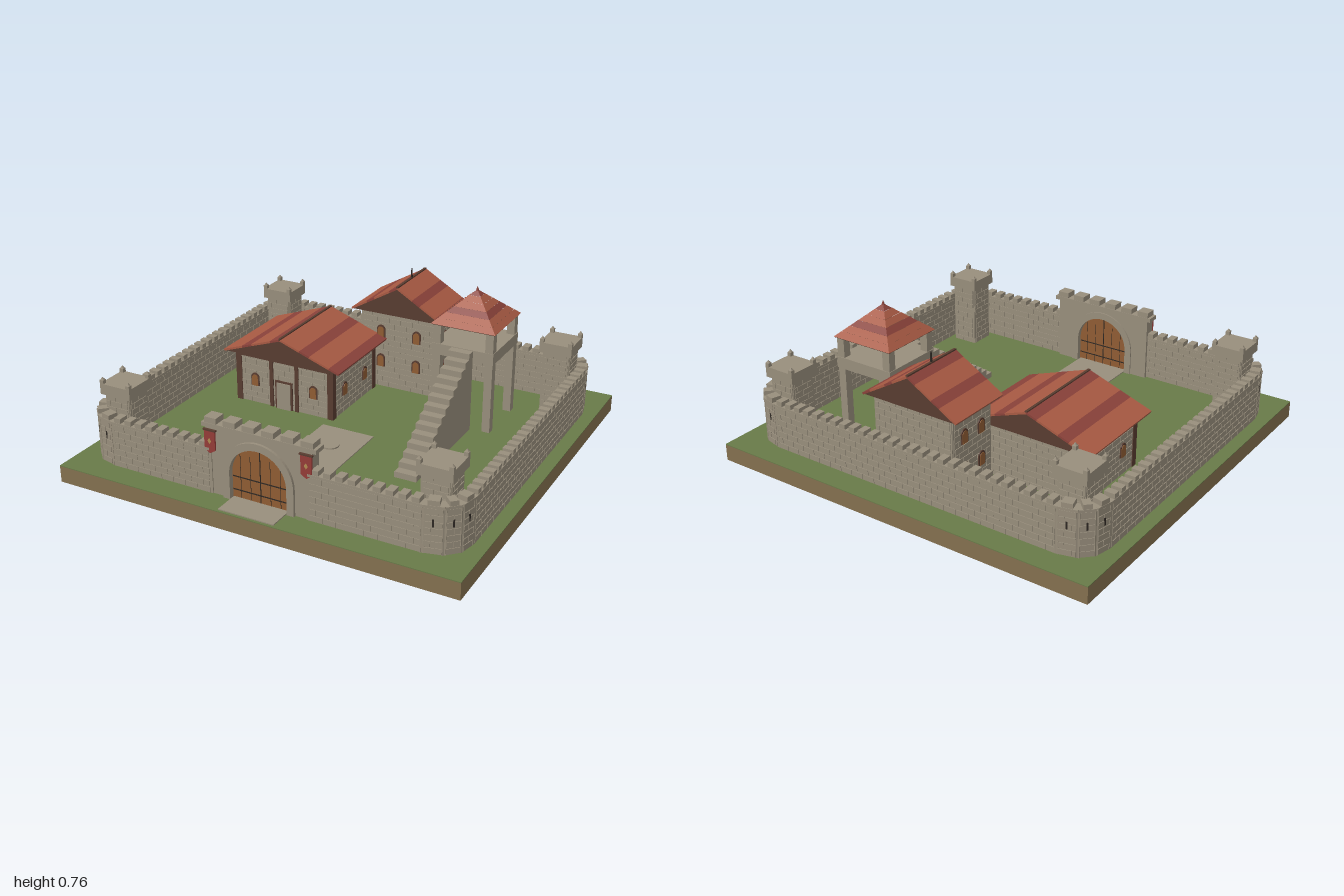
import * as THREE from 'three';
import { mergeGeometries } from 'three/addons/utils/BufferGeometryUtils.js';

const material = (name, color) => {
  const m = new THREE.MeshStandardMaterial({ color });
  m.name = name;
  return m;
};
const M = {
  grass: material('grass', 0x687a48),
  soil: material('soil', 0x84704f),
  stone: material('stone', 0x988e7c),
  tile: material('roof tile', 0xa85a43),
  tileDark: material('dark roof tile', 0x8a423a),
  timber: material('dark timber', 0x583c30),
  wood: material('door wood', 0x8f5c33),
  cloth: material('banner cloth', 0x943c38),
  gold: material('emblem', 0xb08a50),
  iron: material('iron', 0x2e2823),
};
const G = 0.085; // ground level

// Box given by its centre in x and z and by its bottom and top
const box = (x0, x1, y0, y1, z0, z1) =>
  new THREE.BoxGeometry(x1 - x0, y1 - y0, z1 - z0).translate((x0 + x1) / 2, (y0 + y1) / 2, (z0 + z1) / 2);

const part = (parent, name, mat, geos) => {
  const list = [].concat(geos);
  const mesh = new THREE.Mesh(list.length > 1 ? mergeGeometries(list) : list[0], mat);
  mesh.name = name;
  parent.add(mesh);
  return mesh;
};
const group = (parent, name) => {
  const g = new THREE.Group();
  g.name = name;
  parent.add(g);
  return g;
};

// Straight wall from a to b with slightly raised staggered blocks and optional battlements
function wallRun(a, b, top, t, merlons) {
  const len = Math.hypot(b[0] - a[0], b[1] - a[1]);
  const geos = [box(-t * 0.3, len + t * 0.3, G, top, -t / 2, t / 2)];
  const rows = Math.round((top - G) / 0.03), h = (top - G) / rows, w = 0.065, o = t / 2 + 0.003;
  for (let r = 0; r < rows; r++) {
    for (let s = r % 2 ? -w / 2 : 0; s < len; s += w) {
      const s0 = Math.max(0, s) + 0.002, s1 = Math.min(len, s + w) - 0.002;
      if (s1 - s0 > 0.008) geos.push(box(s0, s1, G + r * h + 0.002, G + (r + 1) * h - 0.002, -o, o));
    }
  }
  if (merlons) {
    geos.push(box(-0.005, len + 0.005, top, top + 0.012, -0.027, 0.027));
    const n = Math.max(1, Math.round(len / 0.055)), p = len / n;
    for (let i = 0; i < n; i++) geos.push(box((i + 0.2) * p, (i + 0.8) * p, top + 0.01, top + 0.035, -0.025, 0.025));
  }
  const turn = Math.atan2(-(b[1] - a[1]), b[0] - a[0]);
  return geos.map((g) => g.rotateY(turn).translate(a[0], 0, a[1]));
}

// Four block walls around a rectangle
function room(x0, x1, z0, z1, top) {
  const c = [[x0, z0], [x1, z0], [x1, z1], [x0, z1]];
  return c.flatMap((p, i) => wallRun(p, c[(i + 1) % 4], top, 0.02, false));
}

// Arch outline standing on y = 0
function arch(r, spring) {
  const s = new THREE.Shape();
  s.moveTo(-r, 0);
  s.lineTo(r, 0);
  s.lineTo(r, spring);
  s.absarc(0, spring, r, 0, Math.PI, false);
  s.lineTo(-r, 0);
  return s;
}
const extrude = (shape, depth) => new THREE.ExtrudeGeometry(shape, { depth, bevelEnabled: false, curveSegments: 16 });

// Gable roof with tile courses parallel to the ridge
function gableRoof(parent, x0, x1, z0, z1, eave, ridge) {
  const g = group(parent, 'roof'), mid = (x0 + x1) / 2, half = (x1 - x0) / 2, rise = ridge - eave - 0.01;
  const tri = new THREE.Shape();
  tri.moveTo(x0, eave);
  tri.lineTo(x1, eave);
  tri.lineTo(mid, eave + rise);
  part(g, 'gable', M.timber, extrude(tri, z1 - z0 - 0.016).translate(0, 0, z0 + 0.008));
  const light = [], dark = [], slope = Math.atan2(rise, half), w = half / 6;
  for (let i = 0; i < 12; i++) {
    const x = x0 + (i + 0.5) * w, left = x < mid;
    const y = eave + rise * (1 - Math.abs(x - mid) / half);
    const row = new THREE.BoxGeometry(w / Math.cos(slope), 0.01, z1 - z0);
    row.rotateZ(left ? slope : -slope).translate(x, y + 0.004, (z0 + z1) / 2);
    (i % 3 === 2 ? dark : light).push(row);
  }
  part(g, 'tileCourses', M.tile, light);
  part(g, 'darkTileCourses', M.tileDark, dark);
  part(g, 'ridgeBeam', M.timber, box(mid - 0.006, mid + 0.006, ridge - 0.008, ridge + 0.003, z0, z1));
}

// Small arched window facing +z or, with turn, another way
function windowAt(parent, x, y, z, turn = 0, r = 0.017) {
  const g = group(parent, 'window');
  part(g, 'windowFrame', M.timber, extrude(arch(r + 0.006, 0.045), 0.006));
  part(g, 'windowShutter', M.wood, extrude(arch(r, 0.042), 0.009));
  g.position.set(x, y, z);
  g.rotation.y = turn;
}

function cornerTower(parent, sx, sz) {
  const g = group(parent, 'cornerTower'), cx = sx * 0.793, cz = sz * 0.7;
  const b = 0.068, c = 0.082;
  const geos = room(cx - b + 0.01, cx + b - 0.01, cz - b + 0.01, cz + b - 0.01, 0.4);
  geos.push(box(cx - c, cx + c, 0.4, 0.452, cz - c, cz + c));
  for (const i of [-1, 1]) for (const j of [-1, 1]) {
    const x = cx + i * 0.072, z = cz + j * 0.072;
    geos.push(box(x - 0.01, x + 0.01, 0.45, 0.47, z - 0.01, z + 0.01));
    geos.push(new THREE.ConeGeometry(0.012, 0.014, 4).rotateY(Math.PI / 4).translate(x, 0.477, z));
  }
  part(g, 'towerStone', M.stone, geos);
}

function gatehouse(parent) {
  const g = group(parent, 'gatehouse');
  const s = new THREE.Shape();
  s.moveTo(-0.265, 0);
  s.lineTo(-0.145, 0);
  s.lineTo(-0.145, 0.125);
  s.absarc(0, 0.125, 0.145, Math.PI, 0, true);
  s.lineTo(0.145, 0);
  s.lineTo(0.265, 0);
  s.lineTo(0.265, 0.325);
  s.lineTo(-0.265, 0.325);
  part(g, 'gateWall', M.stone, extrude(s, 0.055).translate(0, G, 0.782));
  // Raised arch surround on both faces
  const trim = arch(0.178, 0.125);
  trim.holes.push(arch(0.143, 0.125));
  part(g, 'archSurround', M.stone, extrude(trim, 0.075).translate(0, G, 0.775));
  const top = [box(-0.285, 0.285, 0.405, 0.425, 0.773, 0.838)];
  for (let i = 0; i < 6; i++) {
    const x = -0.24 + i * 0.096;
    top.push(box(x - 0.03, x + 0.03, 0.424, 0.452, 0.775, 0.836));
  }
  part(g, 'gateBattlements', M.stone, top);
  // Double door with iron fittings
  part(g, 'door', M.wood, extrude(arch(0.145, 0.125), 0.024).translate(0, G, 0.8));
  const iron = [box(-0.002, 0.002, G, 0.353, 0.798, 0.826)];
  for (const y of [0.125, 0.19]) iron.push(box(-0.14, 0.14, y, y + 0.005, 0.798, 0.826));
  for (const x of [-0.1, -0.05, 0.05, 0.1]) iron.push(box(x - 0.001, x + 0.001, G, 0.305, 0.799, 0.825));
  part(g, 'doorIron', M.iron, iron);
  // Pointed banners
  for (const sx of [-1, 1]) {
    const f = new THREE.Shape([[-0.027, 0.395], [-0.027, 0.302], [0, 0.285], [0.027, 0.302], [0.027, 0.395]]
      .map(([x, y]) => new THREE.Vector2(x, y)));
    part(g, 'banner', M.cloth, extrude(f, 0.008).translate(sx * 0.24, 0, 0.838));
    part(g, 'bannerEmblem', M.gold, new THREE.CircleGeometry(0.011, 4).scale(0.9, 1.4, 1).translate(sx * 0.24, 0.345, 0.8475));
    part(g, 'bannerRod', M.timber, box(sx * 0.24 - 0.032, sx * 0.24 + 0.032, 0.393, 0.4, 0.837, 0.849));
  }
}

function hall(parent) {
  const g = group(parent, 'hall'), x0 = -0.66, x1 = -0.135, z0 = -0.465, z1 = -0.045;
  part(g, 'hallWalls', M.stone, room(x0, x1, z0, z1, 0.35));
  const posts = [];
  for (const x of [x0, x1]) for (const z of [z0, z1]) posts.push(box(x - 0.016, x + 0.016, G, 0.35, z - 0.016, z + 0.016));
  posts.push(box(x0, x1, 0.332, 0.35, z1, z1 + 0.018));
  for (const x of [-0.47, -0.325]) posts.push(box(x - 0.01, x + 0.01, G, 0.34, z1, z1 + 0.018));
  part(g, 'timberFrame', M.timber, posts);
  part(g, 'doorSurround', M.timber, box(-0.447, -0.349, G, 0.235, z1, z1 + 0.019));
  part(g, 'hallDoor', M.stone, box(-0.437, -0.359, G, 0.225, z1, z1 + 0.024));
  for (const x of [-0.565, -0.23]) windowAt(g, x, 0.18, z1 + 0.012);
  for (const z of [-0.36, -0.15]) {
    windowAt(g, x1 + 0.012, 0.18, z, Math.PI / 2);
    windowAt(g, x0 - 0.012, 0.18, z, -Math.PI / 2);
  }
  gableRoof(g, -0.725, -0.07, -0.51, 0.003, 0.35, 0.475);
}

function keep(parent) {
  const g = group(parent, 'keep'), x = 0.205, z0 = -0.775, z1 = -0.52;
  part(g, 'keepWalls', M.stone, room(-x, x, z0, z1, 0.5));
  for (const y of [0.2, 0.36]) {
    for (const wx of [-0.1, 0.1]) windowAt(g, wx, y, z1 + 0.012);
    for (const z of [-0.71, -0.59]) {
      windowAt(g, x + 0.012, y, z, Math.PI / 2);
      windowAt(g, -x - 0.012, y, z, -Math.PI / 2);
    }
  }
  gableRoof(g, -0.255, 0.253, -0.812, -0.478, 0.497, 0.655);
  part(g, 'finial', M.iron, new THREE.CylinderGeometry(0.003, 0.006, 0.06, 6).translate(0, 0.675, -0.645));
}

function watchtower(parent) {
  const g = group(parent, 'watchtower'), cx = 0.452, cz = -0.423;
  const geos = [box(cx - 0.158, cx + 0.158, 0.442, 0.498, cz - 0.158, cz + 0.158)];
  for (const i of [-1, 1]) for (const j of [-1, 1]) {
    const x = cx + i * 0.135, z = cz + j * 0.135;
    geos.push(box(x - 0.02, x + 0.02, G, 0.6, z - 0.02, z + 0.02));
  }
  part(g, 'platformAndPosts', M.stone, geos);
  // Pyramid roof in courses
  const light = [], dark = [], R = 0.165 * Math.SQRT2;
  for (let i = 0; i < 6; i++) {
    const band = new THREE.CylinderGeometry(R * (1 - (i + 1) / 6) + 0.001, R * (1 - i / 6), 0.0245, 4, 1, true).toNonIndexed();
    band.computeVertexNormals();
    (i % 3 === 2 ? dark : light).push(band.rotateY(Math.PI / 4).translate(cx, 0.61 + i * 0.0245, cz));
  }
  part(g, 'roofCourses', M.tile, light);
  part(g, 'darkRoofCourses', M.tileDark, dark);
  part(g, 'roofUnderside', M.timber, box(cx - 0.162, cx + 0.162, 0.594, 0.6, cz - 0.162, cz + 0.162));
  part(g, 'roofFinial', M.tileDark, new THREE.ConeGeometry(0.009, 0.025, 6).translate(cx, 0.75, cz));
  // Solid stair rising towards the platform
  const steps = [], n = 14, d = 0.6 / n;
  for (let i = 0; i < n; i++) {
    const z = 0.335 - i * d;
    steps.push(box(0.397, 0.507, G, G + (i + 1) * 0.41 / n, z - d, z));
  }
  part(g, 'stair', M.stone, steps);
}

export function createModel() {
  const root = new THREE.Group();
  root.name = 'walledFort';
  // Ground and paving
  part(root, 'soilBase', M.soil, box(-1, 1, 0, G - 0.004, -0.962, 0.962));
  part(root, 'grass', M.grass, box(-1, 1, G - 0.004, G, -0.962, 0.962));
  part(root, 'path', M.stone, box(-0.14, 0.138, G, G + 0.005, 0.035, 0.95));
  part(root, 'pavingDisc', M.stone, new THREE.CylinderGeometry(0.043, 0.043, 0.012, 24).translate(0, G + 0.006, 0.213));
  // Curtain wall, drawn from one side of the gate round to the other
  const corner = [[0.77, 0.82], [0.85, 0.8], [0.895, 0.755], [0.912, 0.68]];
  const half = [[0.25, 0.82], ...corner, ...corner.map(([x, z]) => [x, -z]).reverse()];
  const line = [...half, ...half.map(([x, z]) => [-x, z]).reverse()];
  const walls = [], slits = [];
  for (let i = 0; i < line.length - 1; i++) {
    const a = line[i], b = line[i + 1];
    walls.push(...wallRun(a, b, 0.298, 0.044, true));
    const len = Math.hypot(b[0] - a[0], b[1] - a[1]);
    if (len < 0.1) {
      slits.push(new THREE.BoxGeometry(0.008, 0.035, 0.052).rotateY(Math.atan2(a[1] - b[1], b[0] - a[0]))
        .translate((a[0] + b[0]) / 2, 0.23, (a[1] + b[1]) / 2));
    }
  }
  part(root, 'curtainWall', M.stone, walls);
  part(root, 'arrowSlits', M.iron, slits);
  for (const sx of [-1, 1]) for (const sz of [-1, 1]) cornerTower(root, sx, sz);
  gatehouse(root);
  hall(root);
  keep(root);
  watchtower(root);
  return root;
}
